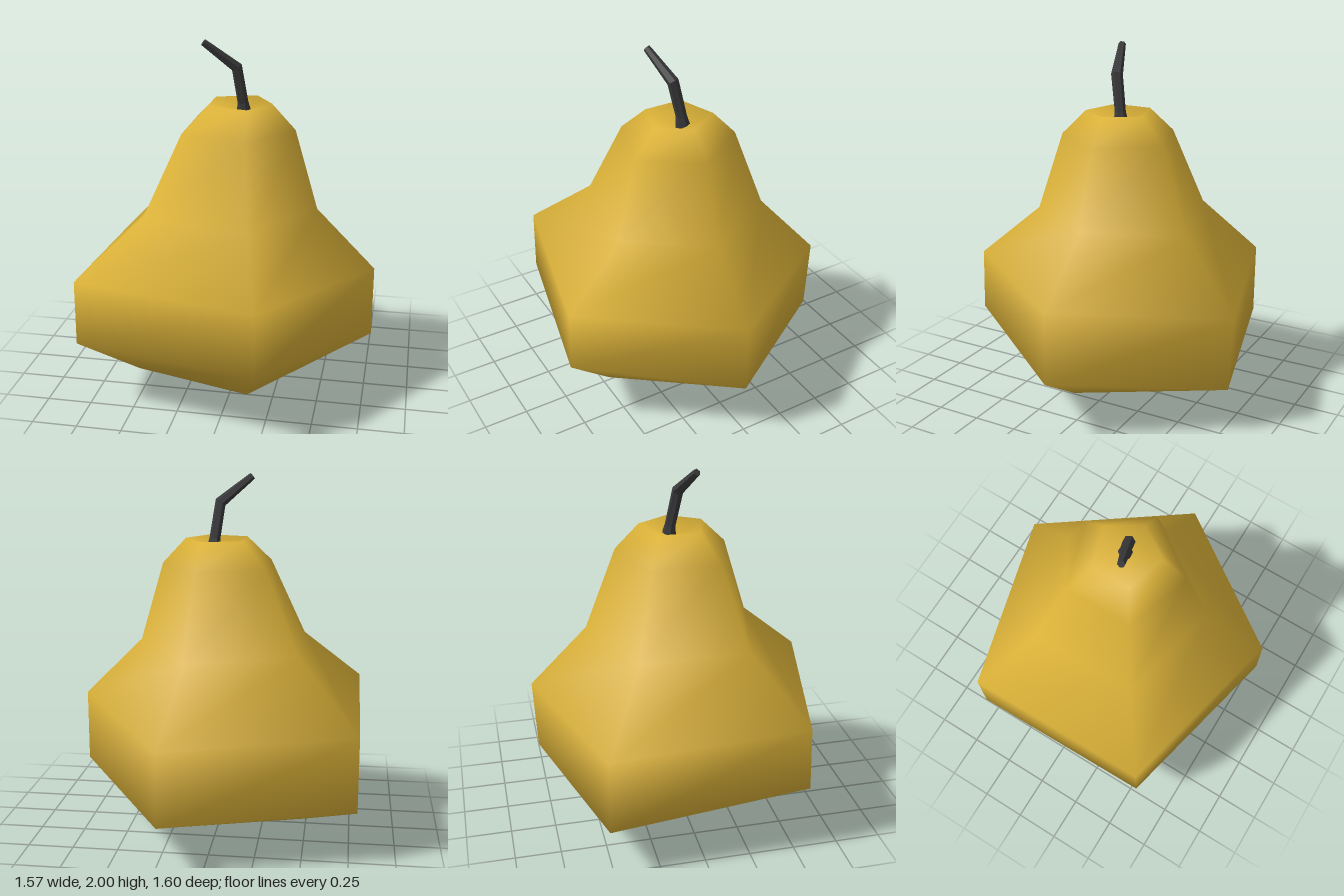
import * as THREE from 'three';

// Skins rings of points (listed bottom to top, counter-clockwise from above),
// closed at each end by a single centre point.
function loft(rings, bottom, top, flat = false) {
  const n = rings[0].length;
  const points = [...rings.flat(), bottom, top];
  const low = points.length - 2, high = points.length - 1;
  const last = (rings.length - 1) * n;
  const index = [];
  for (let i = 0; i < n; i++) {
    const j = (i + 1) % n;
    index.push(i, low, j, last + i, last + j, high);
    for (let r = 0; r < last; r += n) {
      index.push(r + i, r + j, r + n + j, r + i, r + n + j, r + n + i);
    }
  }
  let geometry = new THREE.BufferGeometry();
  geometry.setAttribute('position', new THREE.Float32BufferAttribute(points.flat(), 3));
  geometry.setIndex(index);
  if (flat) geometry = geometry.toNonIndexed();
  geometry.computeVertexNormals();
  return geometry;
}

// Regular ring across a path at a centre, facing along a direction
function ring(centre, direction, radius, sides) {
  const turn = new THREE.Quaternion().setFromUnitVectors(
    new THREE.Vector3(0, 1, 0), new THREE.Vector3(...direction).normalize());
  return Array.from({ length: sides }, (_, i) => {
    const a = (i / sides) * Math.PI * 2;
    return new THREE.Vector3(Math.cos(a) * radius, 0, -Math.sin(a) * radius)
      .applyQuaternion(turn).add(new THREE.Vector3(...centre)).toArray();
  });
}

export function createModel() {
  const model = new THREE.Group();
  model.name = 'pear';
  const skin = new THREE.MeshStandardMaterial({ color: 0xdab138 });
  skin.name = 'golden skin';
  const wood = new THREE.MeshStandardMaterial({ color: 0x3a3a3c });
  wood.name = 'dark stem';

  // Fruit: five-sided rings, slightly irregular, with a dimple at the top
  const fruitRings = [
    // underside
    [[0.51, 0.17, 0.01], [0.15, 0.17, -0.54], [-0.5, 0.17, -0.34], [-0.5, 0.17, 0.36], [0.15, 0.17, 0.54]],
    // lower belly
    [[0.78, 0.34, 0.02], [0.23, 0.26, -0.78], [-0.79, 0.29, -0.52], [-0.79, 0.4, 0.56], [0.23, 0.42, 0.8]],
    // upper belly
    [[0.78, 0.74, 0.02], [0.23, 0.67, -0.8], [-0.79, 0.7, -0.52], [-0.79, 0.76, 0.55], [0.23, 0.77, 0.79]],
    // neck
    [[0.45, 1.07, 0.01], [0.14, 1.04, -0.48], [-0.46, 1.06, -0.3], [-0.46, 1.07, 0.31], [0.14, 1.07, 0.45]],
    // shoulder
    [[0.32, 1.51, 0], [0.1, 1.51, -0.31], [-0.27, 1.51, -0.19], [-0.27, 1.51, 0.19], [0.1, 1.51, 0.31]],
    // rim
    [[0.19, 1.65, 0], [0.08, 1.65, -0.18], [-0.14, 1.65, -0.11], [-0.14, 1.65, 0.11], [0.08, 1.65, 0.17]],
  ];
  const fruit = new THREE.Mesh(loft(fruitRings, [0.02, 0, 0], [0.02, 1.58, 0]), skin);
  fruit.name = 'fruit';
  model.add(fruit);

  // Stem: bent, tapering and flared where it meets the dimple
  const stemRings = [
    ring([0.035, 1.57, -0.025], [0, 1, 0], 0.045, 6),
    ring([0.027, 1.65, -0.015], [-0.1, 1, 0.14], 0.03, 6),
    ring([0, 1.845, 0.02], [-0.55, 0.8, 0.2], 0.032, 6),
    ring([-0.168, 1.984, 0.08], [-0.75, 0.6, 0.28], 0.02, 6),
  ];
  const stem = new THREE.Mesh(
    loft(stemRings, [0.035, 1.57, -0.025], [-0.168, 1.984, 0.08], true), wood);
  stem.name = 'stem';
  model.add(stem);

  return model;
}
